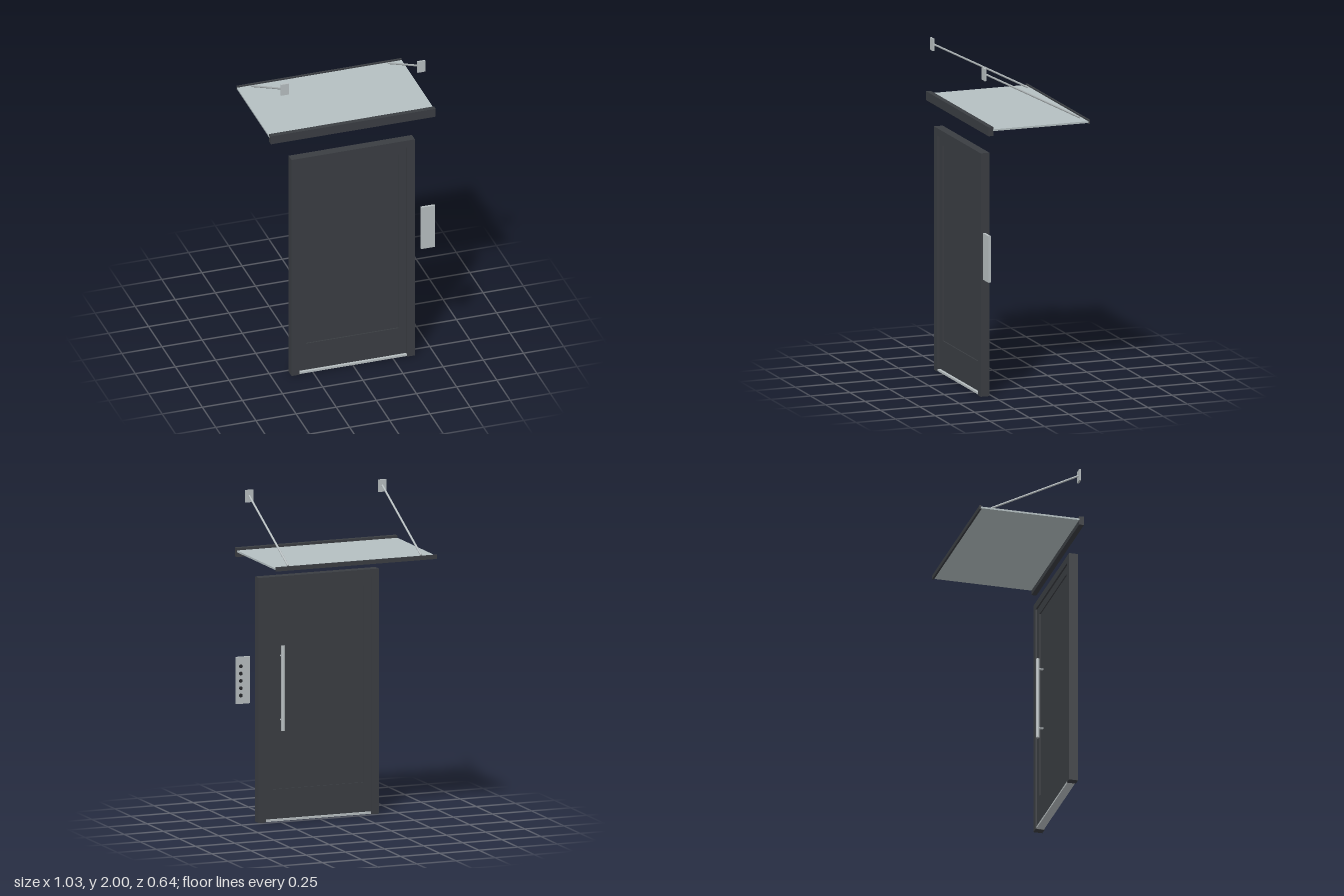
import * as THREE from 'three';

export function createModel() {
  const model = new THREE.Group();
  model.name = 'entranceDoorWithCanopy';

  const mat = (name, color) => {
    const m = new THREE.MeshStandardMaterial({ color });
    m.name = name;
    return m;
  };
  const anthracite = mat('anthracite', 0x3a3d42);
  const steel = mat('brushedSteel', 0xb6bdbf);
  const glass = mat('frostedGlass', 0xb4bfc1);
  const black = mat('buttonBlack', 0x25272a);

  const add = (name, geometry, material, parent = model) => {
    const mesh = new THREE.Mesh(geometry, material);
    mesh.name = name;
    parent.add(mesh);
    return mesh;
  };
  // Box given by its lower and upper limits on each axis
  const box = (name, material, [x0, x1], [y0, y1], [z0, z1], parent) => {
    const mesh = add(name, new THREE.BoxGeometry(x1 - x0, y1 - y0, z1 - z0), material, parent);
    mesh.position.set((x0 + x1) / 2, (y0 + y1) / 2, (z0 + z1) / 2);
    return mesh;
  };
  // Round bar between two points
  const bar = (name, material, from, to, radius, parent) => {
    const a = new THREE.Vector3(...from), b = new THREE.Vector3(...to);
    const dir = b.clone().sub(a);
    const mesh = add(name, new THREE.CylinderGeometry(radius, radius, dir.length(), 20), material, parent);
    mesh.position.copy(a).add(b).multiplyScalar(0.5);
    mesh.quaternion.setFromUnitVectors(new THREE.Vector3(0, 1, 0), dir.normalize());
    return mesh;
  };
  const rectangle = (Type, x, y0, y1) => new Type([
    new THREE.Vector2(-x, y0), new THREE.Vector2(x, y0),
    new THREE.Vector2(x, y1), new THREE.Vector2(-x, y1),
  ]);

  // Door frame: two jambs and a head in one piece
  const frameShape = new THREE.Shape([
    [-0.384, 0], [-0.336, 0], [-0.336, 1.43], [0.336, 1.43],
    [0.336, 0], [0.384, 0], [0.384, 1.475], [-0.384, 1.475],
  ].map(([x, y]) => new THREE.Vector2(x, y)));
  const frame = add('doorFrame',
    new THREE.ExtrudeGeometry(frameShape, { depth: 0.055, bevelEnabled: false }), anthracite);
  frame.position.z = 0.265;

  // Door leaf: surround with a panel set back on both sides
  const leafShape = rectangle(THREE.Shape, 0.336, 0.016, 1.43);
  leafShape.holes.push(rectangle(THREE.Path, 0.288, 0.194, 1.379));
  const leaf = add('doorLeaf',
    new THREE.ExtrudeGeometry(leafShape, { depth: 0.027, bevelEnabled: false }), anthracite);
  leaf.position.z = 0.275;
  box('doorPanel', anthracite, [-0.288, 0.288], [0.194, 1.379], [0.282, 0.294]);
  box('threshold', steel, [-0.336, 0.336], [0.002, 0.014], [0.269, 0.316]);

  // Pull handle on the outer side
  const handle = new THREE.Group();
  handle.name = 'pullHandle';
  model.add(handle);
  bar('handleBar', steel, [0.235, 0.548, 0.249], [0.235, 1.06, 0.249], 0.011, handle);
  for (const y of [0.61, 0.995]) {
    bar('handleStandoff', steel, [0.235, y, 0.249], [0.235, y, 0.283], 0.006, handle);
  }

  // Entry panel with a column of buttons
  const entryPanel = new THREE.Group();
  entryPanel.name = 'entryPanel';
  model.add(entryPanel);
  box('entryPlate', steel, [0.423, 0.51], [0.718, 1.0], [0.304, 0.32], entryPanel);
  for (let i = 0; i < 5; i++) {
    const y = 0.945 - i * 0.044;
    bar('entryButton', black, [0.483, y, 0.306], [0.483, y, 0.299], 0.011, entryPanel);
  }

  // Canopy: glass sheet between wall profile and edge profile
  const canopy = new THREE.Group();
  canopy.name = 'canopy';
  model.add(canopy);
  const span = [-0.513, 0.513];
  box('canopyGlass', glass, span, [1.635, 1.646], [-0.312, 0.292], canopy);
  box('wallProfile', anthracite, span, [1.606, 1.66], [0.29, 0.32], canopy);
  box('edgeProfile', anthracite, span, [1.629, 1.654], [-0.321, -0.31], canopy);

  // Tie rods and their wall plates
  for (const side of [-1, 1]) {
    const x = side * 0.425;
    box('rodWallPlate', steel, [x - 0.025, x + 0.025], [1.926, 2.0], [0.309, 0.32], canopy);
    bar('tieRod', steel, [x, 1.965, 0.312], [x, 1.652, -0.29], 0.006, canopy);
  }

  return model;
}
